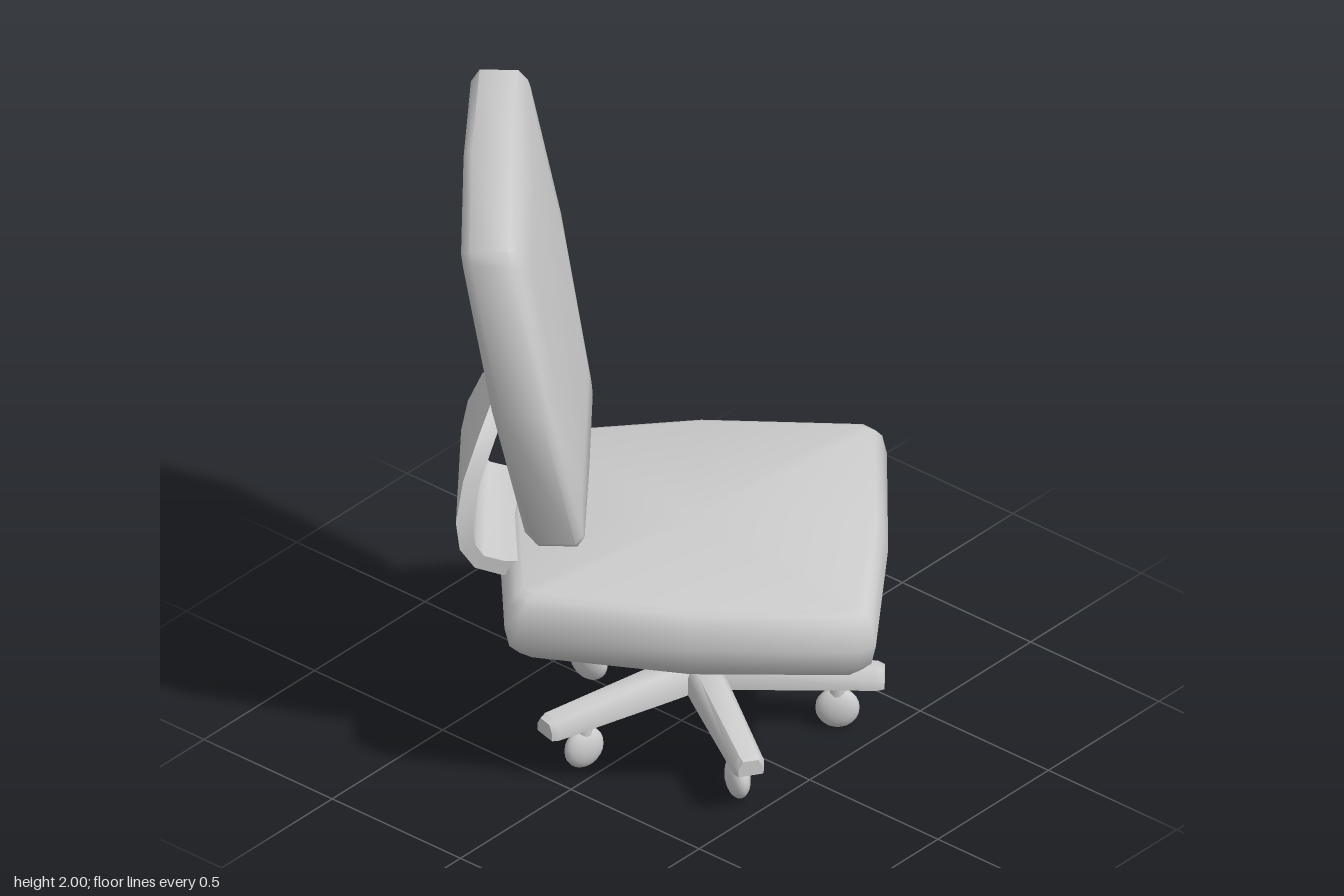
import * as THREE from 'three';
import { toCreasedNormals } from 'three/addons/utils/BufferGeometryUtils.js';

const material = new THREE.MeshStandardMaterial({ color: 0xcccccc });

function add(parent, name, geometry, x = 0, y = 0, z = 0) {
  const mesh = new THREE.Mesh(geometry, material);
  mesh.name = name;
  mesh.position.set(x, y, z);
  parent.add(mesh);
  return mesh;
}

// Skin a list of equal-length rings (counter-clockwise seen from the end), closed by fans.
function loft(rings, crease = 1.0) {
  const n = rings[0].length;
  const pos = rings.flat(2);
  const index = [];
  for (let i = 0; i < rings.length - 1; i++) {
    for (let j = 0; j < n; j++) {
      const k = (j + 1) % n;
      const a = i * n + j, b = i * n + k, c = a + n, d = b + n;
      index.push(a, b, d, a, d, c);
    }
  }
  const cap = (ring, start, flip) => {
    const centre = pos.length / 3;
    for (let axis = 0; axis < 3; axis++) pos.push(ring.reduce((s, p) => s + p[axis], 0) / n);
    for (let j = 0; j < n; j++) {
      const a = start + j, b = start + (j + 1) % n;
      index.push(centre, flip ? b : a, flip ? a : b);
    }
  };
  cap(rings[0], 0, true);
  cap(rings[rings.length - 1], (rings.length - 1) * n, false);
  const geometry = new THREE.BufferGeometry();
  geometry.setAttribute('position', new THREE.Float32BufferAttribute(pos, 3));
  geometry.setIndex(index);
  return toCreasedNormals(geometry, crease);
}

// Complete a symmetric outline: the half on +x, then its mirror image.
function mirrored(half) {
  const other = half.filter(([x]) => x !== 0).reverse().map(([x, v]) => [-x, v]);
  return [...half, ...other];
}

function seatGeometry() {
  const outline = mirrored([
    [0, 0.56], [0.53, 0.54], [0.565, 0.5], [0.575, -0.01],
    [0.49, -0.52], [0.465, -0.56], [0, -0.59],
  ]);
  // [height, scale] from the recess underneath up to the top
  const layers = [
    [0.62, 0.5], [0.51, 0.54], [0.51, 0.92], [0.55, 0.975],
    [0.62, 1], [0.69, 0.975], [0.72, 0.94], [0.73, 0.9],
  ];
  return loft(layers.map(([y, s]) => outline.map(([x, z]) => [x * s, y, z * s])));
}

function backrestGeometry() {
  const outline = mirrored([
    [0, 0.865], [0.41, 0.875], [0.44, 0.9], [0.575, 1.43],
    [0.52, 1.92], [0.5, 1.96], [0, 2],
  ]);
  // [depth, scale] from the rear face to the front face, leaning backwards
  const layers = [
    [-0.1, 0.72], [-0.085, 0.95], [-0.055, 1], [0.06, 1], [0.085, 0.96], [0.1, 0.72],
  ];
  return loft(layers.map(([d, s]) => outline.map(([x, v]) => {
    const y = 1.43 + (v - 1.43) * s;
    return [x * s, y, -0.405 - 0.186 * (y - 0.87) + d];
  })));
}

function bracketGeometry() {
  // [z, y, half width] along the bent plate, from its pointed top into the seat
  const path = [
    [-0.575, 1.17, 0.03], [-0.62, 1.1, 0.17], [-0.665, 0.97, 0.22], [-0.685, 0.85, 0.255],
    [-0.675, 0.77, 0.26], [-0.64, 0.72, 0.26], [-0.57, 0.7, 0.26], [-0.42, 0.7, 0.26],
  ];
  const t = 0.025;
  return loft(path.map(([z, y, h], i) => {
    const p = path[Math.max(i - 1, 0)], q = path[Math.min(i + 1, path.length - 1)];
    const dz = q[0] - p[0], dy = q[1] - p[1], l = Math.hypot(dz, dy);
    const ny = dz / l * t, nz = -dy / l * t;
    return [[h, y + ny, z + nz], [-h, y + ny, z + nz], [-h, y - ny, z - nz], [h, y - ny, z - nz]];
  }), 0.8);
}

function legGeometry() {
  // [distance, half width, top height]
  const stations = [[0, 0.055, 0.24], [0.12, 0.055, 0.238], [0.53, 0.047, 0.213], [0.55, 0.038, 0.205]];
  return loft(stations.map(([z, h, top]) => [
    [h, 0.155, z], [h, top - 0.025, z], [h * 0.6, top, z],
    [-h * 0.6, top, z], [-h, top - 0.025, z], [-h, 0.155, z],
  ]), 0.9);
}

export function createModel() {
  const model = new THREE.Group();
  model.name = 'officeChair';

  // The whole chair is turned on its column
  const chair = new THREE.Group();
  chair.name = 'chair';
  chair.position.set(0.02, 0, 0.05);
  chair.rotation.y = THREE.MathUtils.degToRad(39);
  model.add(chair);

  add(chair, 'seat', seatGeometry());
  add(chair, 'backrest', backrestGeometry());
  add(chair, 'backrestBracket', bracketGeometry());
  add(chair, 'column', new THREE.CylinderGeometry(0.07, 0.07, 0.3, 20), 0, 0.325, 0);

  // Five-armed base with a caster near each tip
  const leg = legGeometry();
  const stem = new THREE.CylinderGeometry(0.025, 0.025, 0.08, 10);
  const wheel = new THREE.SphereGeometry(0.066, 18, 12).scale(0.55, 1, 1);
  for (let i = 0; i < 5; i++) {
    const arm = new THREE.Group();
    arm.name = 'baseArm';
    arm.rotation.y = i * Math.PI * 2 / 5;
    add(arm, 'leg', leg);
    add(arm, 'casterStem', stem, 0, 0.135, 0.41);
    add(arm, 'casterWheel', wheel, 0, 0.066, 0.41);
    chair.add(arm);
  }
  return model;
}
